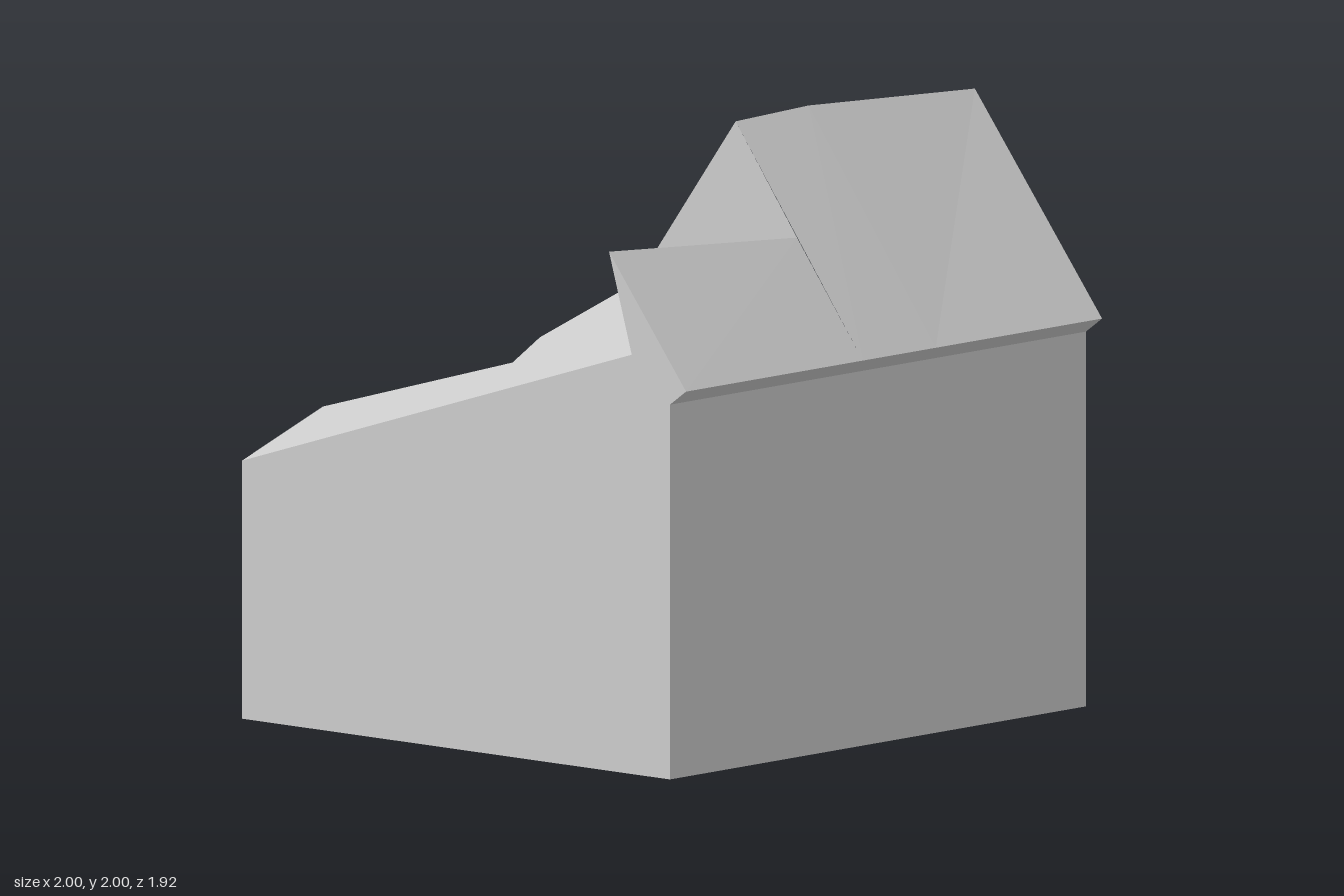
import * as THREE from 'three';

const material = new THREE.MeshStandardMaterial({ color: 0xcccccc, flatShading: true });

// Flat polygons [outward direction, corners], each fanned from its first corner and turned outward
function facets(name, polygons) {
  const positions = [];
  for (const [outward, pts] of polygons) {
    const normal = new THREE.Vector3();
    const v = pts.map(p => new THREE.Vector3(...p));
    v.forEach((a, i) => normal.add(a.clone().cross(v[(i + 1) % v.length])));
    if (normal.dot(new THREE.Vector3(...outward)) < 0) v.reverse();
    // keep the fan centre at the first corner after reversing
    if (v[0].distanceTo(new THREE.Vector3(...pts[0])) > 1e-9) v.unshift(v.pop());
    for (let i = 1; i < v.length - 1; i++) {
      for (const p of [v[0], v[i], v[i + 1]]) positions.push(p.x, p.y, p.z);
    }
  }
  const geometry = new THREE.BufferGeometry();
  geometry.setAttribute('position', new THREE.Float32BufferAttribute(positions, 3));
  geometry.computeVertexNormals();
  const mesh = new THREE.Mesh(geometry, material);
  mesh.name = name;
  return mesh;
}

const FRONT = [0, 0, 1], BACK = [0, 0, -1], LEFT = [1, 0, 0], RIGHT = [-1, 0, 0];
const UP = [0, 1, 0], DOWN = [0, -1, 0];

// House section: wall lines, eaves and ridge
const zf = 0.89, zb = -0.06, yWall = 1.22;
const ef = 0.96, eb = -0.13, yEave = 1.27, zRidge = 0.41;
const annexZ = -0.96, annexX = 0.2, annexY = 0.97;

// Ridge sags slightly away from its high point
const ridgeA = [-0.15, 1.99, zRidge], ridgeB = [0.2, 2, zRidge], ridgeC = [1, 1.96, zRidge];

// Corners of the slanted cut through the roof's right end
const cutTop = [-0.15, 1.64, 0.675], cutEnd = [-1, 1.69, 0.627], cutHeel = [-1, 1.365, 0.725];
const cutBack = [-0.15, 1.42, -0.02], cutEave = [-0.49, yEave, eb], cutWall = [-0.7, yWall, zb];
const cutLow = [-1, 0.84, annexZ], cutCrease = [-0.61, annexY, annexZ];

// Opening outline on the gable wall, as [z, y]
const hollowOutline = [
  [0.45, 1.245], [0.41, 1.165], [0.3, 1.15], [0.2, 1.09], [0.08, 1.02], [0.02, 0.87],
  [0.08, 0.75], [0.13, 0.6], [0.2, 0.47], [0.27, 0.42], [0.38, 0.405], [0.46, 0.42],
  [0.52, 0.51], [0.62, 0.6], [0.69, 0.74], [0.73, 0.91], [0.69, 1.07], [0.59, 1.19], [0.5, 1.235],
];

function gableWall() {
  const toShape = ([z, y]) => new THREE.Vector2(-z, y);
  const shape = new THREE.Shape([
    [zf, 0], [zb, 0], [zb, yWall], [eb, yEave], [zRidge, ridgeC[1]], [ef, yEave], [zf, yWall],
  ].map(toShape));
  shape.holes.push(new THREE.Path(hollowOutline.map(toShape)));
  const mesh = new THREE.Mesh(new THREE.ShapeGeometry(shape).rotateY(Math.PI / 2), material);
  mesh.position.x = 1;
  mesh.name = 'gableWall';
  return mesh;
}

// Bowl sunk into the gable: the outline shrinks along a quarter ellipse
function hollow() {
  const centre = [0.36, 0.82], depth = 0.32, rings = 9, polygons = [];
  const point = (i, r) => {
    const t = (r / rings) * Math.PI / 2;
    const [z, y] = hollowOutline[i % hollowOutline.length];
    const s = Math.cos(t);
    return [1 - depth * Math.sin(t), centre[1] + (y - centre[1]) * s, centre[0] + (z - centre[0]) * s];
  };
  for (let r = 0; r < rings; r++) {
    for (let i = 0; i < hollowOutline.length; i++) {
      const quad = [point(i, r), point(i + 1, r), point(i + 1, r + 1), point(i, r + 1)];
      const mid = [0, 1, 2].map(k => quad.reduce((sum, p) => sum + p[k] / 4, 0));
      polygons.push([[1.1 - mid[0], centre[1] - mid[1], centre[0] - mid[2]], quad]);
    }
  }
  return facets('gableHollow', polygons);
}

export function createModel() {
  const group = new THREE.Group();
  group.name = 'house';

  group.add(facets('houseWalls', [
    [FRONT, [[-1, 0, zf], [1, 0, zf], [1, yWall, zf], [-1, yWall, zf]]],
    [BACK, [[annexX, 0, zb], [1, 0, zb], [1, yWall, zb], [annexX, yWall, zb]]],
    [RIGHT, [cutHeel, cutEnd, [-1, yEave, ef], [-1, yWall, zf], [-1, 0, zf], [-1, 0, annexZ], cutLow]],
  ]));

  group.add(facets('roof', [
    // front slope
    [FRONT, [[-1, yEave, ef], [-0.15, yEave, ef], cutTop, cutEnd]],
    [FRONT, [[-0.15, yEave, ef], [0.2, yEave, ef], ridgeB, ridgeA]],
    [FRONT, [[0.2, yEave, ef], [1, yEave, ef], ridgeC, ridgeB]],
    // back slope
    [BACK, [[0.2, yEave, eb], [1, yEave, eb], ridgeC, ridgeB]],
    [BACK, [[0.2, yEave, eb], ridgeB, ridgeA, cutBack, [-0.15, yEave, eb]]],
    [BACK, [cutEave, [-0.15, yEave, eb], cutBack]],
    // eave undersides
    [DOWN, [[-1, yWall, zf], [1, yWall, zf], [1, yEave, ef], [-1, yEave, ef]]],
    [DOWN, [cutWall, [1, yWall, zb], [1, yEave, eb], cutEave]],
  ]));

  group.add(facets('slantedCut', [
    [UP, [cutHeel, cutLow, cutCrease, cutWall, cutEave, cutBack, cutTop]],
    [BACK, [cutTop, cutEnd, cutHeel]],
    [RIGHT, [cutBack, ridgeA, cutTop]],
  ]));

  group.add(facets('annex', [
    [LEFT, [[annexX, 0, zb], [annexX, 0, annexZ], [annexX, annexY, annexZ], [annexX, yWall, zb]]],
    [BACK, [[annexX, 0, annexZ], [-1, 0, annexZ], cutLow, cutCrease, [annexX, annexY, annexZ]]],
    [UP, [[annexX, yWall, zb], [annexX, annexY, annexZ], cutCrease, cutWall]],
  ]));

  group.add(facets('base', [
    [DOWN, [[-1, 0, zb], [1, 0, zb], [1, 0, zf], [-1, 0, zf]]],
    [DOWN, [[-1, 0, annexZ], [annexX, 0, annexZ], [annexX, 0, zb], [-1, 0, zb]]],
  ]));

  group.add(gableWall(), hollow());
  return group;
}
